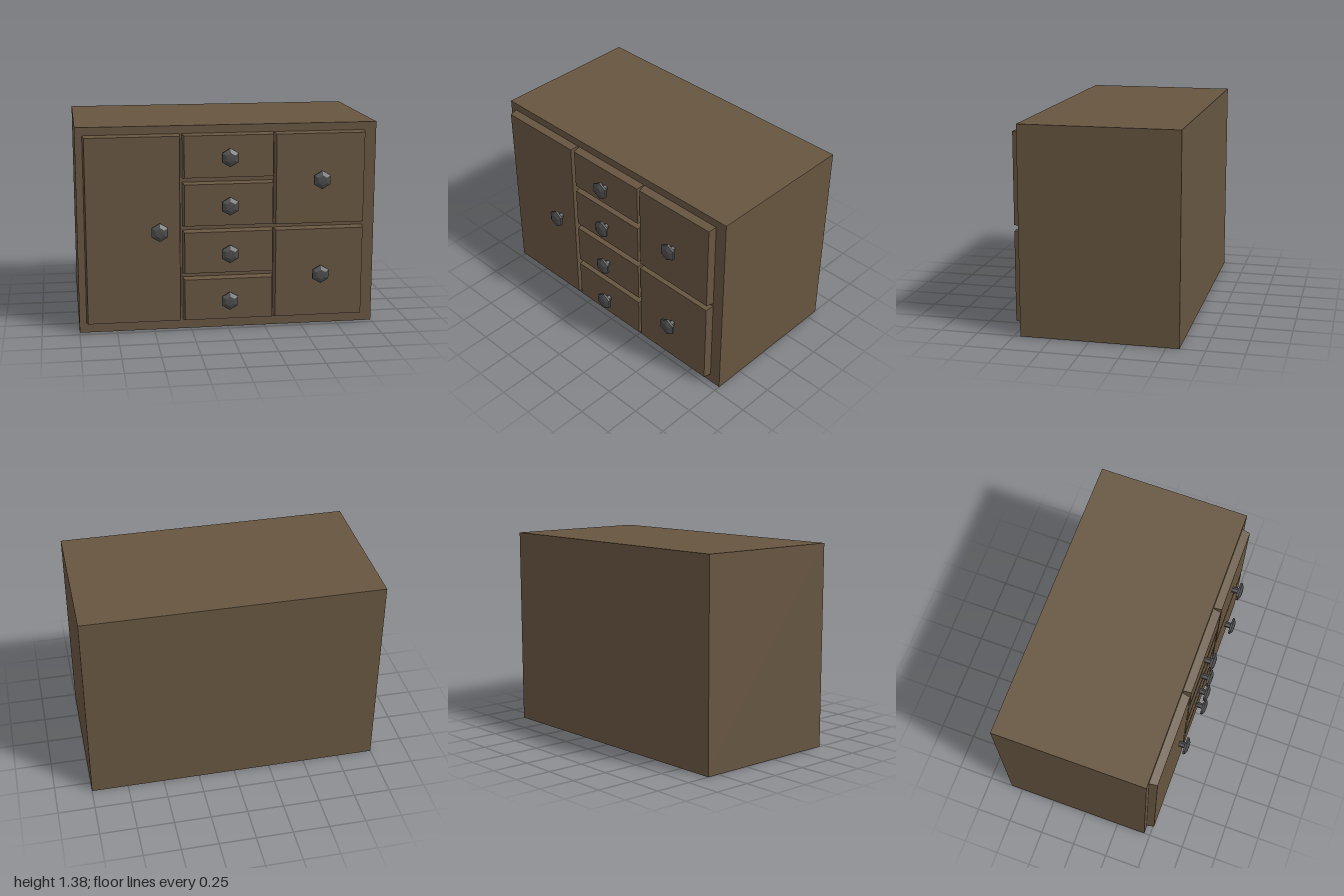
import * as THREE from 'three';

const FRONT = 0.457; // front plane of the carcass
const PANEL = 0.055; // panel thickness
const TAPER = 0.009; // inset of each panel's front edge

// Box whose front face is slightly smaller than its back face
function panelGeometry(w, h) {
  const geo = new THREE.BoxGeometry(w, h, PANEL);
  const p = geo.attributes.position;
  for (let i = 0; i < p.count; i++) {
    if (p.getZ(i) > 0) {
      p.setX(i, p.getX(i) - Math.sign(p.getX(i)) * TAPER);
      p.setY(i, p.getY(i) - Math.sign(p.getY(i)) * TAPER);
    }
  }
  geo.computeVertexNormals();
  return geo;
}

// Six-sided knob: stem, flat back, rim and bevelled face, pointing along +z
function knobGeometry() {
  const profile = [
    [0.021, 0], [0.021, 0.042], [0.062, 0.042], [0.062, 0.056], [0.034, 0.071], [0, 0.073],
  ].map(([r, y]) => new THREE.Vector2(r, y));
  const geo = new THREE.LatheGeometry(profile, 6).toNonIndexed();
  geo.computeVertexNormals();
  geo.rotateX(Math.PI / 2);
  return geo;
}

export function createModel() {
  const wood = new THREE.MeshStandardMaterial({ color: 0x665540 });
  wood.name = 'brown wood';
  const metal = new THREE.MeshStandardMaterial({ color: 0x4b4b4c });
  metal.name = 'dark metal';

  const model = new THREE.Group();
  model.name = 'cabinet';

  // Carcass
  const body = new THREE.Mesh(new THREE.BoxGeometry(2, 1.385, 1.042), wood);
  body.name = 'carcass';
  body.position.set(0, 1.385 / 2, FRONT - 0.521);
  model.add(body);

  // Fronts: name, x range, y range, knob x
  const fronts = [
    ['tallDoor', -0.953, -0.318, 0.065, 1.332, -0.465],
    ['upperRightDoor', 0.308, 0.92, 0.708, 1.332, 0.614],
    ['lowerRightDoor', 0.308, 0.92, 0.065, 0.685, 0.614],
  ];
  for (let i = 0; i < 4; i++) {
    const y = 0.065 + i * 0.3235;
    fronts.push([`drawer${i + 1}`, -0.305, 0.304, y, y + 0.297, 0]);
  }

  const knobGeo = knobGeometry();
  for (const [name, x0, x1, y0, y1, knobX] of fronts) {
    const group = new THREE.Group();
    group.name = name;
    const panel = new THREE.Mesh(panelGeometry(x1 - x0, y1 - y0), wood);
    panel.name = name + 'Panel';
    panel.position.set((x0 + x1) / 2, (y0 + y1) / 2, FRONT + PANEL / 2);
    const knob = new THREE.Mesh(knobGeo, metal);
    knob.name = name + 'Knob';
    knob.position.set(knobX, (y0 + y1) / 2, FRONT + PANEL);
    group.add(panel, knob);
    model.add(group);
  }
  return model;
}
